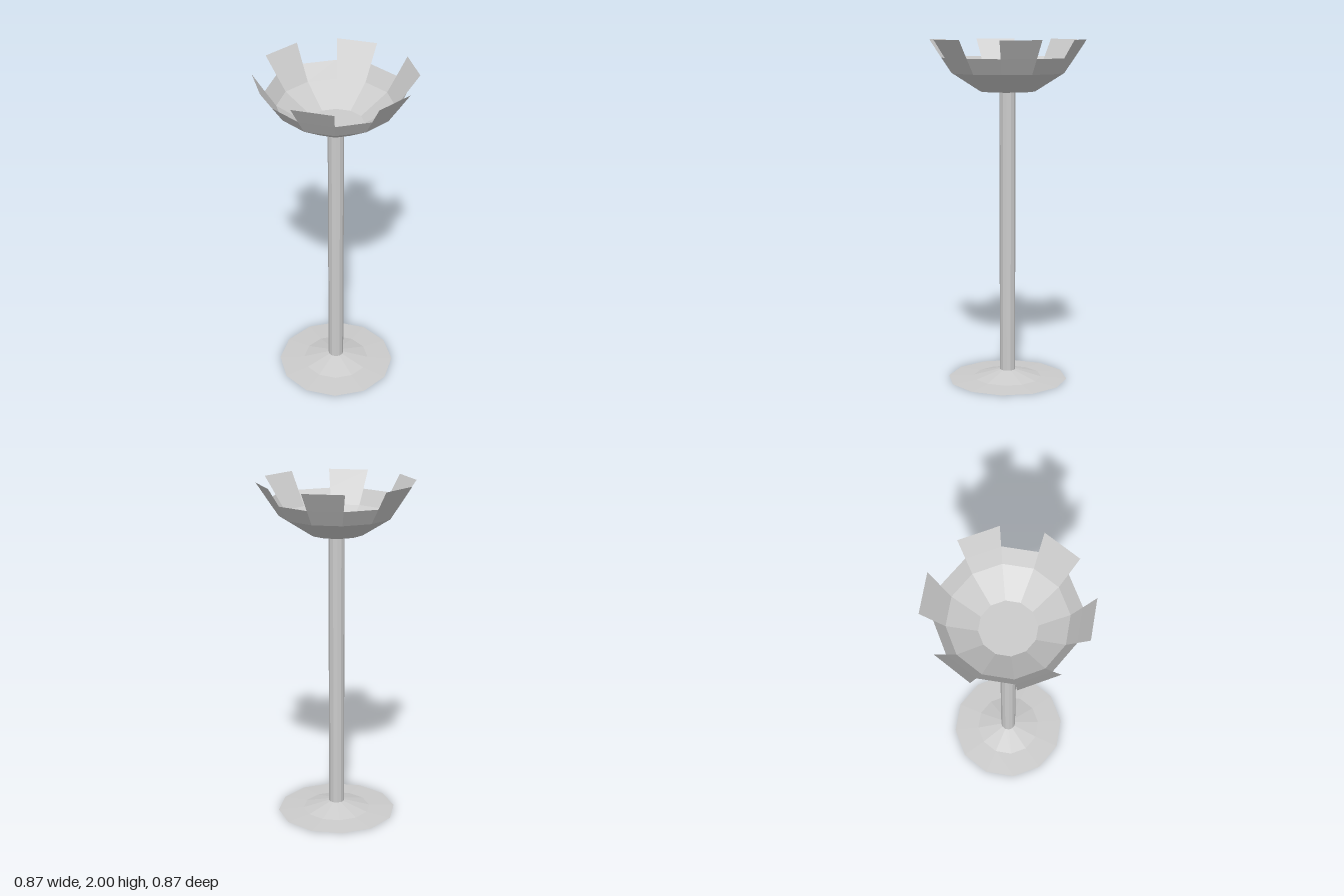
import * as THREE from 'three';

const SIDES = 12;
const STEP = (Math.PI * 2) / SIDES;
const material = new THREE.MeshStandardMaterial({
  color: 0xcccccc, flatShading: true, side: THREE.DoubleSide,
});

// Faceted surface of revolution from [radius, height] pairs; flats face the axes
function turned(name, profile, start = STEP / 2, segments = SIDES) {
  const points = profile.map(([r, y]) => new THREE.Vector2(r, y));
  const geometry = new THREE.LatheGeometry(points, segments, start, segments * STEP);
  const mesh = new THREE.Mesh(geometry, material);
  mesh.name = name;
  return mesh;
}

export function createModel() {
  const model = new THREE.Group();
  model.name = 'pedestalBowl';

  // Thin spreading foot, open underneath
  model.add(turned('foot', [[0.352, 0], [0.2, 0.009], [0.046, 0.052]]));

  // Hollow stem
  model.add(turned('stem', [[0.046, 0.052], [0.046, 1.705]]));

  // Bowl: floor disc, flared wall and low rim
  const bowl = new THREE.Group();
  bowl.name = 'bowl';
  const floor = new THREE.Mesh(new THREE.CircleGeometry(0.16, SIDES, STEP / 2), material);
  floor.name = 'bowlFloor';
  floor.rotation.x = -Math.PI / 2;
  floor.position.y = 1.705;
  bowl.add(floor);
  bowl.add(turned('bowlWall', [[0.16, 1.705], [0.326, 1.81], [0.385, 1.898]]));

  // Raised panels on every second side of the rim
  for (let i = 0; i < SIDES; i += 2) {
    bowl.add(turned('raisedPanel', [[0.385, 1.898], [0.452, 2]], STEP * (i + 0.5), 1));
  }
  model.add(bowl);

  return model;
}
